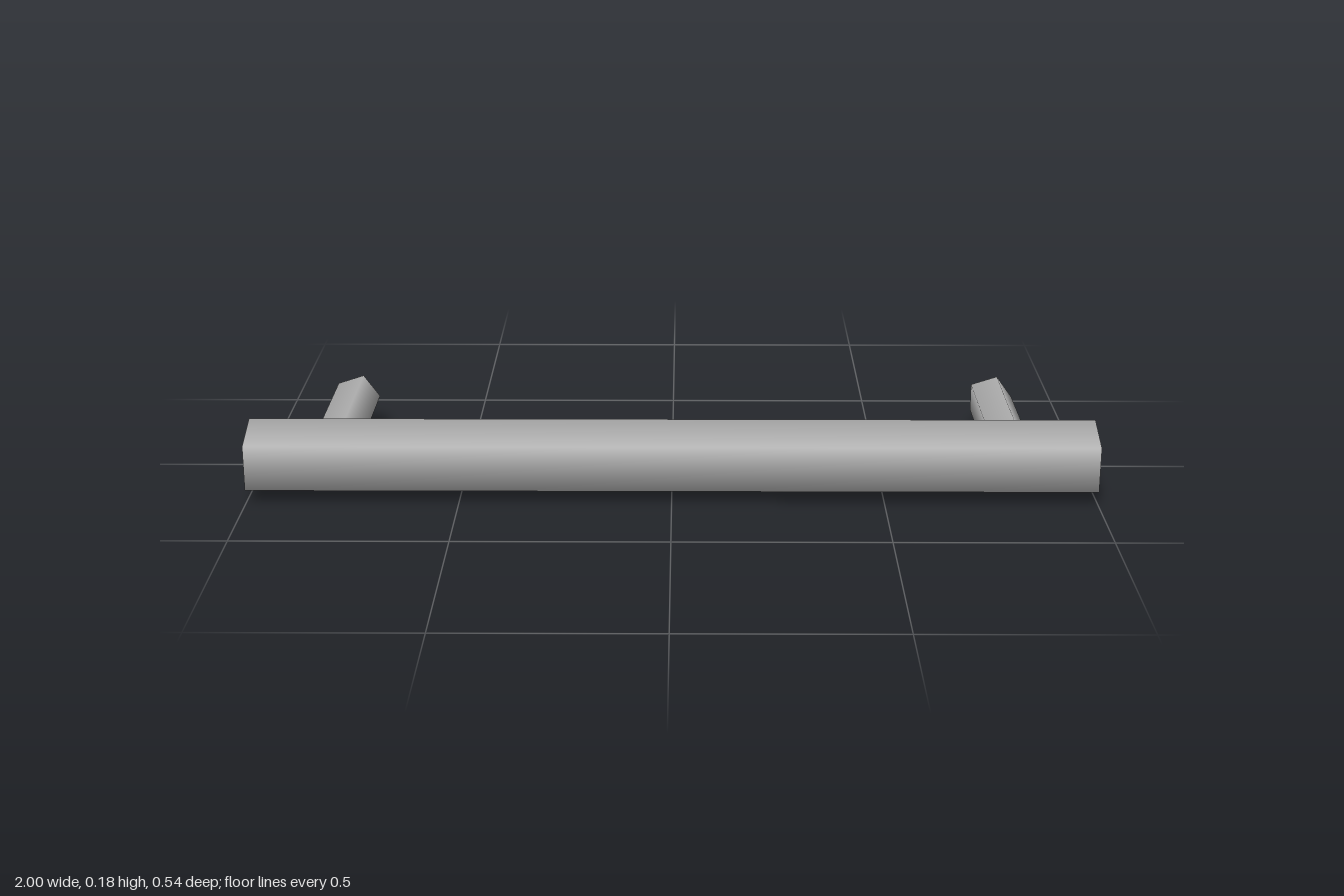
import * as THREE from 'three';

const SIDES = 5;

// Closed five-sided rod with smooth sides, standing along y
function rod(radius, length, start) {
  return new THREE.CylinderGeometry(radius, radius, length, SIDES, 1, false, start);
}

export function createModel() {
  const group = new THREE.Group();
  group.name = 'barHandle';
  const metal = new THREE.MeshStandardMaterial({ color: 0xb4b4b4 });
  metal.name = 'brushed metal grey';

  const centreY = 0.09;
  const barZ = 0.194;
  const backZ = -0.269;

  // Long grip bar, flat side to the front and an edge to the back
  const bar = new THREE.Mesh(rod(0.093, 2, Math.PI).rotateZ(Math.PI / 2), metal);
  bar.name = 'gripBar';
  bar.position.set(0, centreY, barZ);
  group.add(bar);

  // Two mounting posts running back from inside the bar
  const length = barZ - backZ;
  const postGeometry = rod(0.0575, length, Math.PI / 2).rotateX(Math.PI / 2);
  for (const [name, x] of [['leftPost', 0.805], ['rightPost', -0.805]]) {
    const post = new THREE.Mesh(postGeometry, metal);
    post.name = name;
    post.position.set(x, centreY, (barZ + backZ) / 2);
    group.add(post);
  }
  return group;
}
